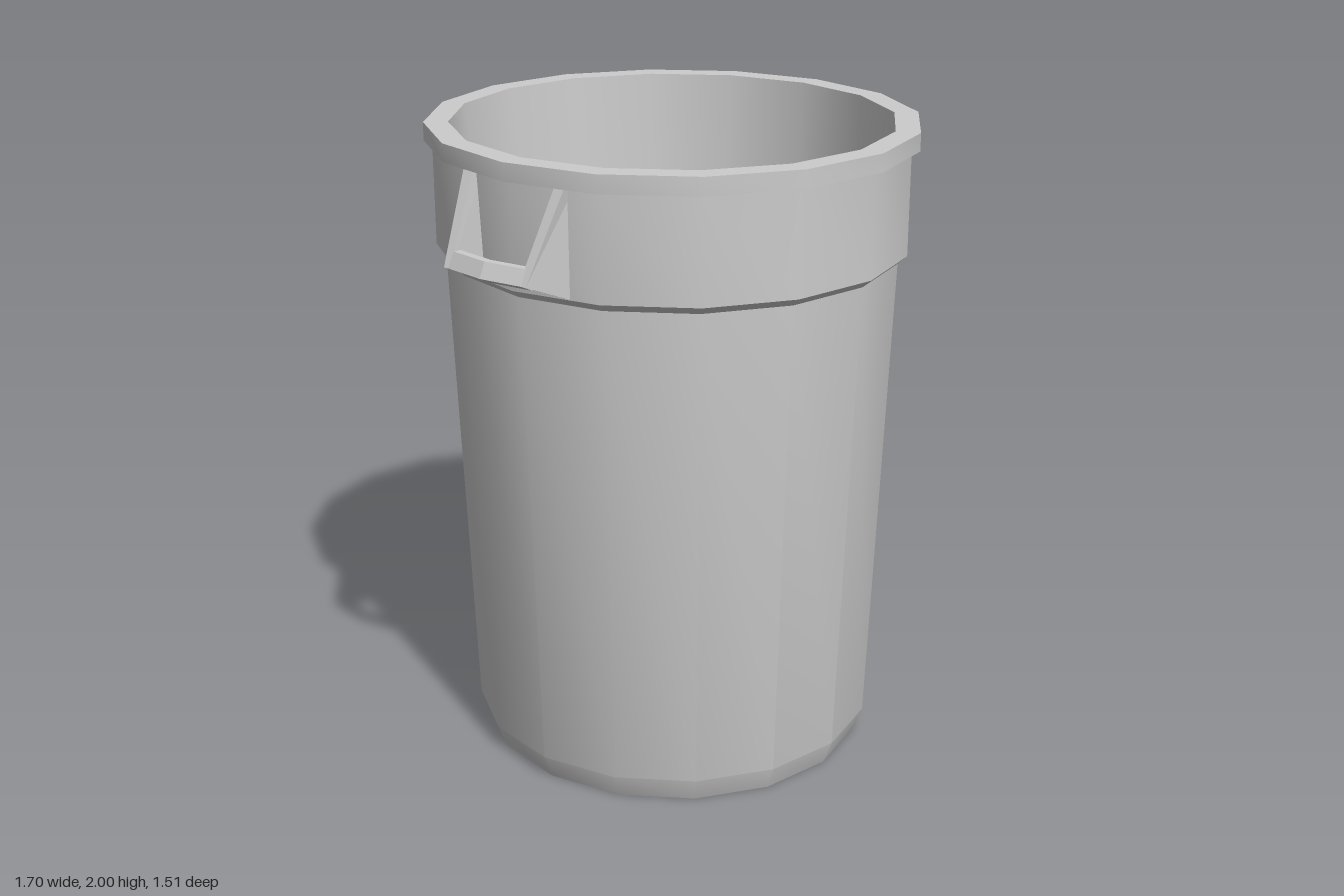
import * as THREE from 'three';
import { toCreasedNormals } from 'three/addons/utils/BufferGeometryUtils.js';

const material = new THREE.MeshStandardMaterial({ color: 0xcccccc });
const flatMaterial = new THREE.MeshStandardMaterial({ color: 0xcccccc, flatShading: true });

// Solid through matching cross-sections (counter-clockwise seen from +z, ordered by rising z)
function loft(sections) {
  const n = sections[0].length;
  const index = [];
  for (let s = 0; s < sections.length - 1; s++) {
    for (let i = 0; i < n; i++) {
      const a = s * n + i, b = s * n + (i + 1) % n;
      index.push(a, b, b + n, a, b + n, a + n);
    }
  }
  const last = (sections.length - 1) * n;
  for (let i = 1; i < n - 1; i++) {
    index.push(0, i + 1, i, last, last + i, last + i + 1);
  }
  const geometry = new THREE.BufferGeometry();
  geometry.setAttribute('position', new THREE.Float32BufferAttribute(sections.flat(2), 3));
  geometry.setIndex(index);
  const flat = geometry.toNonIndexed();
  flat.computeVertexNormals();
  return flat;
}

function addMesh(parent, name, geometry, mat) {
  const mesh = new THREE.Mesh(geometry, mat);
  mesh.name = name;
  parent.add(mesh);
  return mesh;
}

// Handle on the +x side: two tapered cheeks joined by a slightly bowed grip
function createHandle(name) {
  const handle = new THREE.Group();
  handle.name = name;

  // x, y, inner z, outer z of each cheek corner
  const cheek = [
    [0.66, 1.945, 0.155, 0.19],
    [0.68, 1.625, 0.13, 0.188],
    [0.83, 1.69, 0.13, 0.157],
    [0.705, 1.945, 0.155, 0.19],
  ];
  const inner = (side) => cheek.map(([x, y, z]) => [x, y, side * z]);
  const outer = (side) => cheek.map(([x, y, , z]) => [x, y, side * z]);
  addMesh(handle, 'frontCheek', loft([inner(1), outer(1)]), flatMaterial);
  addMesh(handle, 'backCheek', loft([outer(-1), inner(-1)]), flatMaterial);

  const grip = [[0.785, 1.668], [0.83, 1.69], [0.808, 1.735], [0.785, 1.735]];
  const gripAt = (z, bow) => grip.map(([x, y]) => [x + bow, y, z]);
  addMesh(handle, 'grip', loft([gripAt(-0.14, 0), gripAt(0, 0.018), gripAt(0.14, 0)]), flatMaterial);
  return handle;
}

export function createModel() {
  const model = new THREE.Group();
  model.name = 'bin';

  // Bin shell: base, chamfer, tapered wall, collar band, rim, inner wall, floor
  const profile = [
    [0, 0], [0.615, 0], [0.647, 0.08], [0.702, 1.6], [0.73, 1.625], [0.73, 1.945],
    [0.755, 1.945], [0.755, 2], [0.68, 2], [0.56, 0.05], [0, 0.05],
  ].map(([r, y]) => new THREE.Vector2(r, y));
  const shell = new THREE.LatheGeometry(profile, 16);
  shell.scale(0.988, 1, 1);
  addMesh(model, 'binShell', toCreasedNormals(shell, 0.5), material);

  // Handles on both sides
  const left = createHandle('leftHandle');
  const right = createHandle('rightHandle');
  right.rotation.y = Math.PI;
  model.add(left, right);
  return model;
}
